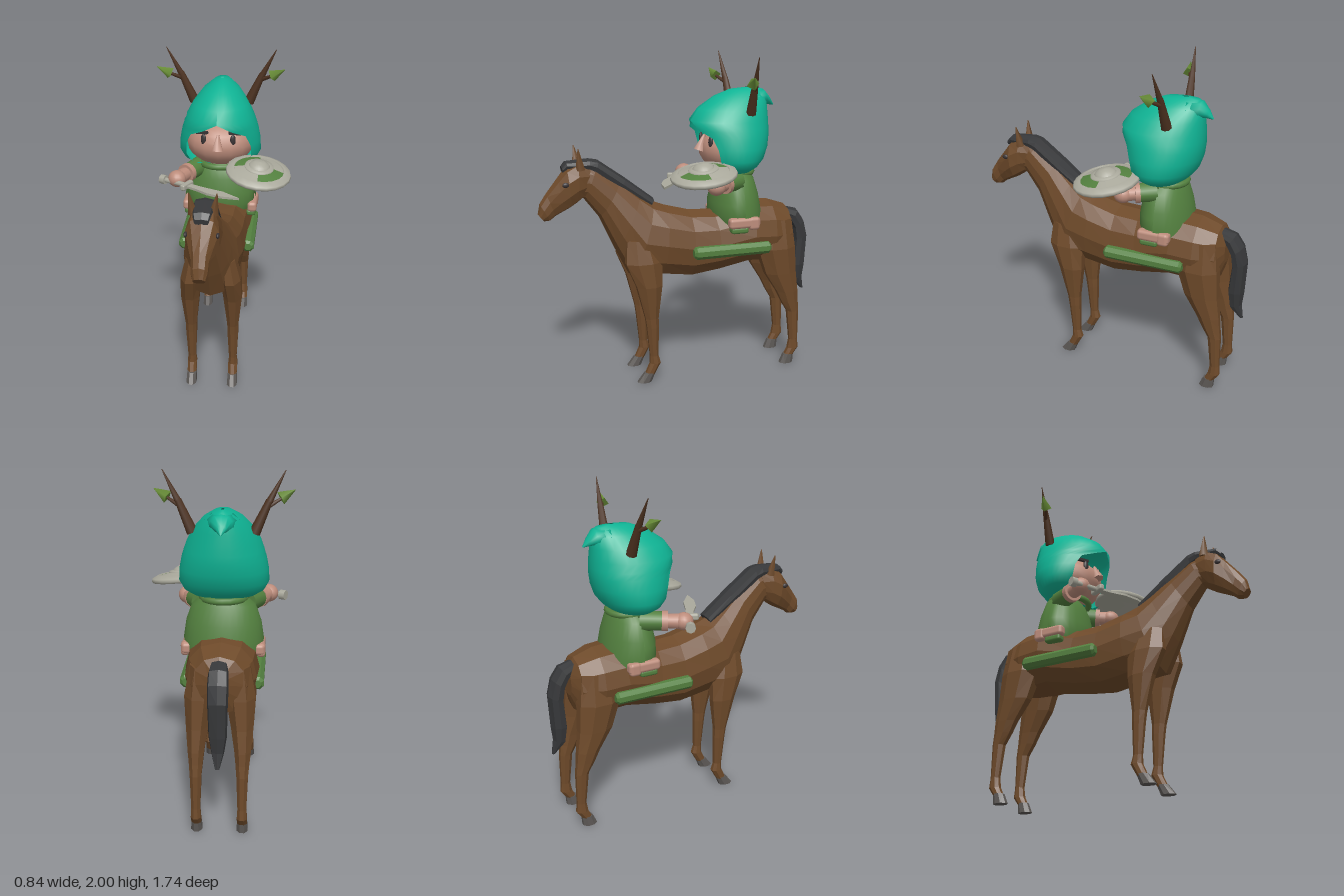
import * as THREE from 'three';
import { RoundedBoxGeometry } from 'three/addons/geometries/RoundedBoxGeometry.js';

const V = (x, y, z) => new THREE.Vector3(x, y, z);
const mat = (name, color, side = THREE.FrontSide) => {
  const m = new THREE.MeshStandardMaterial({ color, side });
  m.name = name;
  return m;
};

// Skin a list of closed rings, with capped ends; facets are flat unless smooth
function loft(rings, smooth = false) {
  const n = rings[0].length, pos = [], idx = [];
  rings.forEach(r => r.forEach(p => pos.push(p.x, p.y, p.z)));
  for (let i = 0; i < rings.length - 1; i++) for (let j = 0; j < n; j++) {
    const a = i * n + j, b = i * n + (j + 1) % n;
    idx.push(a, b, a + n, b, b + n, a + n);
  }
  [0, rings.length - 1].forEach((r, end) => {
    const c = rings[r].reduce((s, p) => s.add(p), V(0, 0, 0)).divideScalar(n);
    const k = pos.push(c.x, c.y, c.z) / 3 - 1;
    for (let j = 0; j < n; j++) {
      const a = r * n + j, b = r * n + (j + 1) % n;
      idx.push(...(end ? [a, b, k] : [b, a, k]));
    }
  });
  const at = i => V(pos[3 * i], pos[3 * i + 1], pos[3 * i + 2]);
  let vol = 0;
  for (let i = 0; i < idx.length; i += 3) vol += at(idx[i]).dot(at(idx[i + 1]).cross(at(idx[i + 2])));
  if (vol < 0) idx.reverse();
  let g = new THREE.BufferGeometry();
  g.setAttribute('position', new THREE.Float32BufferAttribute(pos, 3));
  g.setIndex(idx);
  if (!smooth) g = g.toNonIndexed();
  g.computeVertexNormals();
  return g;
}
// Cross-section between an upper and a lower point of the side outline
const section = (n, flat = 1) => ([zt, yt, zb, yb, w]) => Array.from({ length: n }, (_, j) => {
  const a = j / n * Math.PI * 2, c = Math.cos(a) / 2 + 0.5, s = Math.sin(a);
  return V(Math.sign(s) * Math.abs(s) ** flat * w, yb + (yt - yb) * c, zb + (zt - zb) * c);
});
// Level cross-section of a leg
const legRing = side => ([y, z, rz, rx, x]) => Array.from({ length: 8 }, (_, j) => {
  const a = (j + 0.5) / 4 * Math.PI;
  return V(side * (x + Math.cos(a) * rx), y, z + Math.sin(a) * rz);
});
// Open surface from rows of points
function sheet(rows) {
  const n = rows[0].length, idx = [];
  for (let i = 0; i < rows.length - 1; i++) for (let j = 0; j < n - 1; j++) {
    const a = i * n + j;
    idx.push(a, a + n, a + 1, a + 1, a + n, a + n + 1);
  }
  const g = new THREE.BufferGeometry().setFromPoints(rows.flat());
  g.setIndex(idx);
  g.computeVertexNormals();
  return g;
}

export function createModel() {
  const root = new THREE.Group(), model = new THREE.Group();
  root.add(model);
  model.position.x = -0.035;
  const brown = mat('horse brown', 0x6e4a2a), black = mat('mane black', 0x37383a);
  const hoofGrey = mat('hoof grey', 0x5c5855), teal = mat('hood teal', 0x0fb394, THREE.DoubleSide);
  const green = mat('tunic green', 0x53803f, THREE.DoubleSide), skin = mat('skin', 0xbd8d7c);
  const steel = mat('steel', 0xaaa99c, THREE.DoubleSide), bark = mat('antler brown', 0x4d3220);
  const leafGreen = mat('leaf green', 0x6a8f38), dark = mat('eye dark', 0x3a3435);
  const add = (name, geo, m, p = [0, 0, 0], parent = model) => {
    const mesh = new THREE.Mesh(geo, m);
    mesh.name = name;
    mesh.position.set(...p);
    parent.add(mesh);
    return mesh;
  };
  const rod = (name, a, b, r0, r1, m, n = 8) => {
    const d = b.clone().sub(a), mesh = add(name, new THREE.CylinderGeometry(r1, r0, d.length(), n), m);
    mesh.position.copy(a).add(b).multiplyScalar(0.5);
    mesh.quaternion.setFromUnitVectors(V(0, 1, 0), d.normalize());
    return mesh;
  };
  const ball = (name, p, r, m) => {
    const b = add(name, new THREE.SphereGeometry(1, 16, 12), m, p);
    b.scale.set(...r);
    return b;
  };

  // Horse trunk, neck and head: [zTop, yTop, zBottom, yBottom, halfWidth]
  add('horseBody', loft([
    [-.74, .98, -.74, .82, .06], [-.70, 1.05, -.71, .72, .15], [-.58, 1.09, -.58, .69, .2],
    [-.45, 1.1, -.42, .7, .21], [-.2, 1.05, -.23, .66, .19], [-.05, 1.06, -.05, .635, .185],
    [.1, 1.1, .14, .66, .18], [.18, 1.13, .33, .68, .165], [.26, 1.18, .42, .86, .13],
    [.38, 1.27, .51, 1.06, .088], [.52, 1.37, .6, 1.18, .07], [.6, 1.4, .63, 1.17, .06]].map(section(12, .85))), brown);
  add('horseHead', loft([
    [.55, 1.39, .6, 1.18, .065], [.63, 1.41, .64, 1.15, .085], [.7, 1.375, .68, 1.125, .095],
    [.75, 1.31, .73, 1.1, .075], [.82, 1.22, .77, 1.08, .05], [.86, 1.16, .8, 1.055, .047],
    [.872, 1.1, .835, 1.055, .035]].map(section(10, .8))), brown);
  add('mane', loft([
    [.725, 1.375, .72, 1.34, .04], [.7, 1.405, .69, 1.36, .05], [.56, 1.415, .57, 1.35, .06],
    [.51, 1.405, .53, 1.33, .06], [.35, 1.29, .38, 1.22, .06], [.17, 1.15, .2, 1.1, .055]].map(section(8, .4))), black);
  add('tail', loft([
    [-.68, 1.04, -.69, .97, .045], [-.79, 1.01, -.74, .93, .055], [-.84, .94, -.765, .88, .058],
    [-.868, .84, -.775, .8, .055], [-.86, .64, -.76, .63, .05], [-.85, .55, -.775, .53, .035],
    [-.862, .46, -.845, .46, .012]].map(section(8, .5))), black);

  for (const s of [-1, 1]) {
    // Legs: [y, z, radiusZ, radiusX, x]
    const ring = legRing(s);
    add('frontLeg', loft([
      [.92, .28, .09, .05, .1], [.78, .265, .12, .065, .12], [.63, .235, .085, .06, .13],
      [.42, .22, .044, .037, .13], [.36, .215, .04, .036, .13], [.17, .207, .028, .026, .13],
      [.12, .2, .036, .031, .13], [.05, .235, .032, .03, .13]].map(ring)), brown);
    add('frontHoof', loft([[.06, .235, .036, .031, .13], [0, .27, .047, .034, .13]].map(ring)), hoofGrey);
    add('hindLeg', loft([
      [.98, -.6, .11, .06, .11], [.8, -.6, .135, .09, .115], [.63, -.635, .11, .068, .125],
      [.5, -.685, .075, .05, .13], [.43, -.705, .06, .042, .13], [.36, -.73, .042, .035, .13],
      [.16, -.742, .03, .027, .13], [.1, -.74, .038, .031, .13], [.05, -.71, .032, .03, .13]].map(ring)), brown);
    add('hindHoof', loft([[.06, -.71, .036, .031, .13], [0, -.695, .047, .034, .13]].map(ring)), hoofGrey);
    rod('horseEar', V(s * .055, 1.36, .62), V(s * .075, 1.485, .635), .03, .003, brown, 5);
    ball('horseEye', [s * .086, 1.28, .715], [.01, .015, .02], dark);

    // Saddle bar, with narrowed ends
    const bar = add('saddleBar', loft([[-.53, .024], [-.515, .04], [-.045, .04], [-.03, .024]].map(([z, r]) =>
      Array.from({ length: 8 }, (_, j) => V(Math.cos((j + .5) * Math.PI / 4) * r, Math.sin((j + .5) * Math.PI / 4) * r, z)))), green);
    bar.position.set(s * .2, .83, 0);

    // Rider legs beside the saddle
    add('riderThigh', new RoundedBoxGeometry(.06, .065, .2, 2, .02), skin, [s * .208, 1, -.35]);
    add('riderFoot', new RoundedBoxGeometry(.05, .08, .07, 2, .02), skin, [s * .216, .995, -.41]);
    add('riderBoot', new RoundedBoxGeometry(.06, .04, .11, 2, .015), green, [s * .2, .955, -.32]);

    // Antlers, each with a twig and a pointed leaf
    rod('antler', V(s * .17, 1.66, -.395), V(s * .25, 1.84, -.385), .032, .019, bark);
    rod('antlerTip', V(s * .25, 1.835, -.385), V(s * .335, 2, -.37), .019, .002, bark);
    rod('antlerTwig', V(s * .25, 1.81, -.385), V(s * .325, 1.85, -.34), .013, .008, bark, 6);
    rod('leaf', V(s * .31, 1.845, -.345), V(s * .39, 1.89, -.325), .038, .001, leafGreen, 4);

    // Face details
    const eye = ball('riderEye', [s * .09, 1.485, -.17], [.018, .036, .012], dark);
    eye.rotation.y = s * .4;
    const brow = add('riderBrow', new THREE.BoxGeometry(.075, .016, .02), dark, [s * .1, 1.525, -.185]);
    brow.rotation.set(0, s * .4, s * -.12);
  }

  // Rider head and nose
  ball('riderHead', [0, 1.43, -.335], [.215, .15, .2], skin);
  rod('nose', V(0, 1.425, -.13), V(0, 1.52, -.16), .038, .008, skin, 6);

  // Hood rows: [y, zBack, zFront, halfWidth, half angle of the face opening]
  const hoodRows = [
    [1.8, -.46, -.42, .01, 0], [1.79, -.53, -.32, .05, 0], [1.75, -.555, -.22, .11, 0], [1.68, -.56, -.12, .17, 0],
    [1.61, -.565, -.07, .208, 0], [1.56, -.565, -.075, .226, 24], [1.52, -.565, -.085, .238, 45],
    [1.45, -.555, -.095, .252, 52], [1.38, -.53, -.12, .255, 52], [1.33, -.49, -.16, .228, 52],
    [1.3, -.45, -.2, .18, 50], [1.29, -.4, -.28, .1, 0]];
  add('hood', sheet(hoodRows.map(([y, zb, zf, w, open]) => Array.from({ length: 29 }, (_, j) => {
    const o = open * Math.PI / 180, a = o + (Math.PI * 2 - 2 * o) * j / 28;
    return V(Math.sin(a) * w, y, (zb + zf) / 2 + Math.cos(a) * (zf - zb) / 2);
  }))), teal);
  add('hoodPoint', loft([[-.46, 1.795, -.5, 1.66, .1], [-.54, 1.785, -.55, 1.69, .06],
    [-.585, 1.735, -.57, 1.69, .03], [-.612, 1.69, -.605, 1.685, .004]].map(section(10)), true), teal);

  // Tunic, collar and cape
  const tunic = add('tunic', new THREE.LatheGeometry(
    [[.2, .98], [.218, 1.03], [.215, 1.1], [.185, 1.2], [.15, 1.26], [.1, 1.31]].map(p => new THREE.Vector2(...p)), 24), green, [0, 0, -.34]);
  tunic.scale.z = .64;
  const collar = add('collar', new THREE.TorusGeometry(.125, .02, 8, 20), green, [0, 1.285, -.34]);
  collar.rotation.x = Math.PI / 2;
  add('cape', sheet([[1.3, .12, .09], [1.25, .18, .12], [1.15, .215, .15], [1.05, .23, .17], [.97, .225, .175]].map(([y, w, d]) =>
    Array.from({ length: 17 }, (_, j) => {
      const a = Math.PI * (.5 + j / 16);
      return V(Math.sin(a) * w, y, -.35 + Math.cos(a) * d);
    }))), green);

  // Arms: sleeve, cuff, forearm and fist
  for (const [shoulder, hand] of [[V(-.13, 1.25, -.33), V(-.25, 1.245, -.11)], [V(.13, 1.25, -.33), V(.225, 1.24, -.16)]]) {
    const at = t => shoulder.clone().lerp(hand, t);
    rod('sleeve', at(0), at(.55), .062, .055, green, 12);
    rod('cuff', at(.5), at(.64), .06, .06, skin, 12);
    rod('forearm', at(.6), at(.95), .042, .046, skin, 12);
    ball('fist', hand.toArray(), [.056, .052, .056], skin);
  }

  // Sword held level across the horse's neck
  const sword = new THREE.Group();
  sword.name = 'sword';
  sword.position.set(-.175, 1.235, -.03);
  sword.rotation.y = -.48;
  model.add(sword);
  const outline = new THREE.Shape([[0, -.02], [.12, -.02], [.24, -.028], [.37, 0], [.27, .038], [.17, .045], [.08, .028], [0, .022]]
    .map(p => new THREE.Vector2(...p)));
  add('blade', new THREE.ExtrudeGeometry(outline, { depth: .014, bevelEnabled: false }).rotateX(Math.PI / 2), steel, [0, .007, 0], sword);
  add('guard', new RoundedBoxGeometry(.035, .04, .11, 1, .012), steel, [-.005, 0, 0], sword);
  add('grip', new THREE.CylinderGeometry(.016, .016, .17, 8).rotateZ(Math.PI / 2), steel, [-.09, 0, 0], sword);
  add('pommel', new THREE.CylinderGeometry(.03, .03, .035, 8).rotateZ(Math.PI / 2), steel, [-.18, 0, 0], sword);

  // Round shield lying nearly level: quartered field, rim and boss
  const shield = new THREE.Group();
  shield.name = 'shield';
  shield.position.set(.255, 1.325, -.07);
  shield.quaternion.setFromUnitVectors(V(0, 1, 0), V(.12, 1, .14).normalize());
  model.add(shield);
  const ringPart = (name, pts, m, from = 0, len = Math.PI * 2, n = 20) =>
    add(name, new THREE.LatheGeometry(pts.map(p => new THREE.Vector2(...p)), n, from, len), m, [0, 0, 0], shield);
  ringPart('shieldRim', [[.15, -.005], [.19, -.018], [.2, -.006], [.195, .008], [.155, .026], [.15, .015]], steel);
  ringPart('shieldBack', [[0, .008], [.16, -.008]], steel);
  for (let q = 0; q < 4; q++)
    ringPart('shieldQuarter', [[.155, .016], [.08, .036]], q % 2 ? steel : green, q * Math.PI / 2, Math.PI / 2, 6);
  ringPart('shieldBossRing', [[.09, .03], [.088, .042], [.065, .046]], steel);
  ringPart('shieldBoss', [[.066, .04], [.055, .056], [.03, .068], [0, .072]], steel);
  return root;
}
